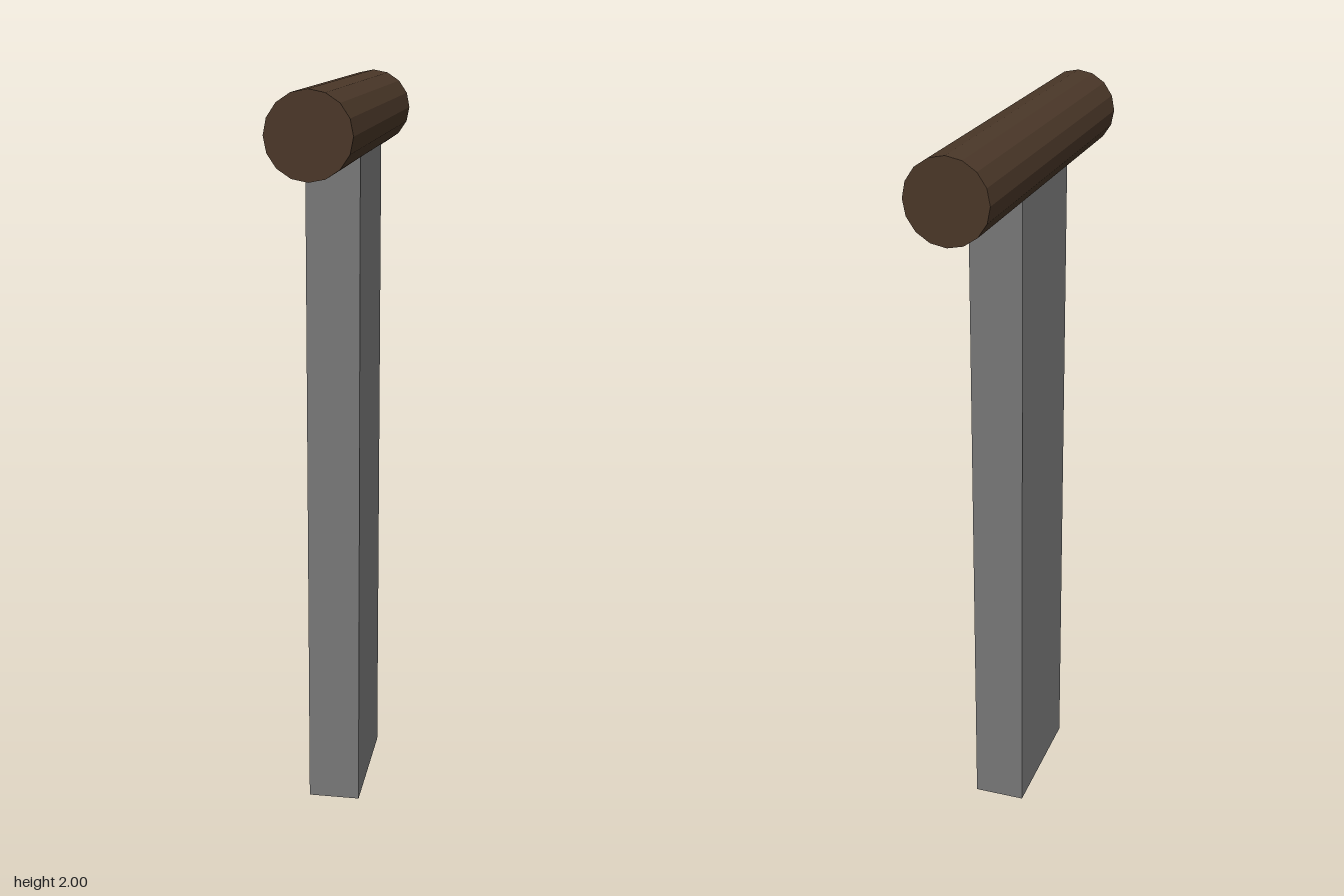
import * as THREE from 'three';

export function createModel() {
  const model = new THREE.Group();

  const add = (name, geometry, color, y) => {
    const material = new THREE.MeshStandardMaterial({ color, flatShading: true });
    const mesh = new THREE.Mesh(geometry, material);
    mesh.name = name;
    mesh.position.y = y;
    model.add(mesh);
  };

  // Flat upright post, its top sunk into the round bar
  const postHeight = 1.87;
  add('post', new THREE.BoxGeometry(0.142, postHeight, 0.374), 0x777777, postHeight / 2);

  // Round 16-sided wooden crossbar running front to back
  const radius = 0.107;
  const bar = new THREE.CylinderGeometry(radius, radius, 1.04, 16).rotateX(Math.PI / 2);
  add('crossbar', bar, 0x4a3728, 2 - radius);

  return model;
}
